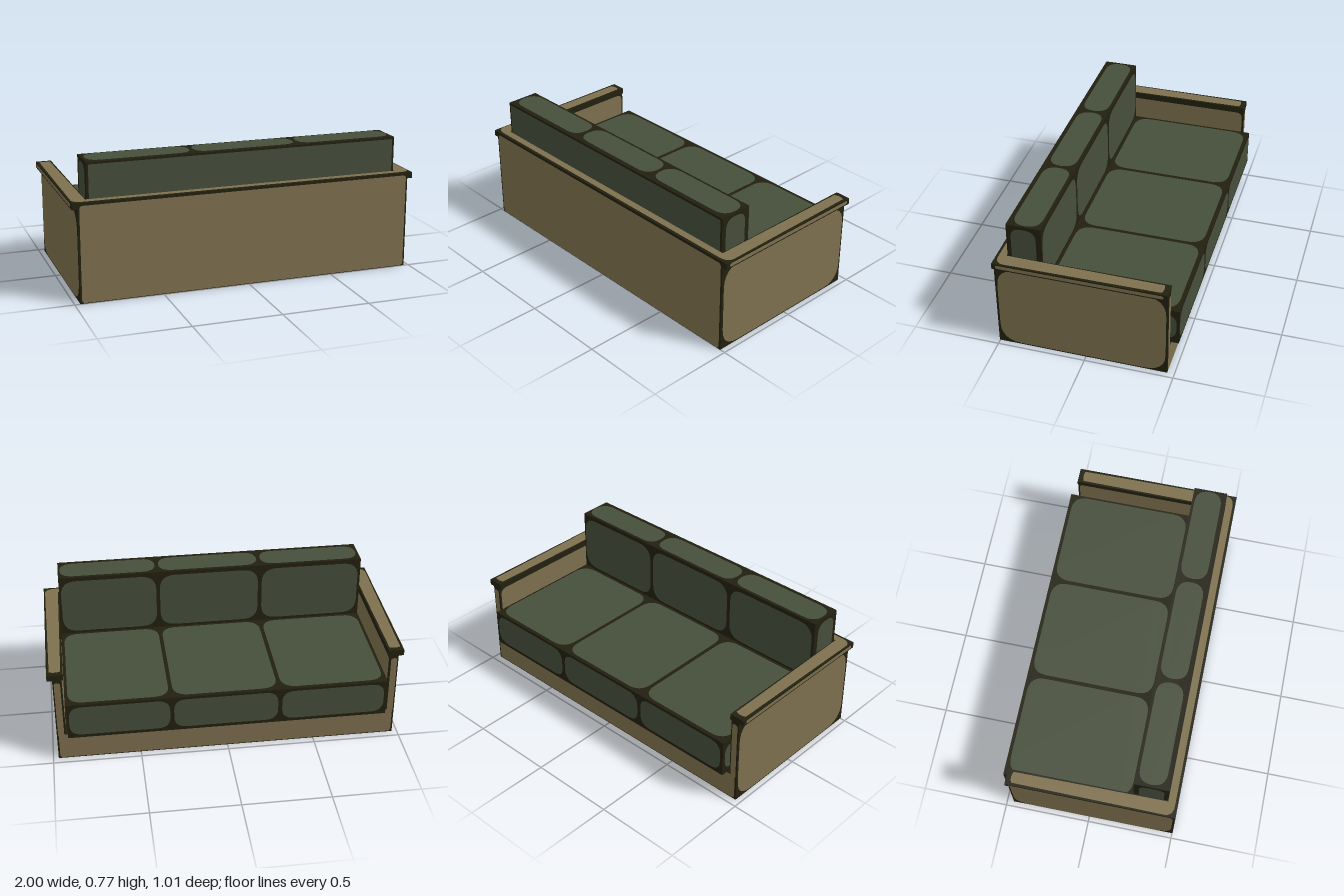
import * as THREE from 'three';

export function createModel() {
  const group = new THREE.Group();
  const material = (name, color) => {
    const m = new THREE.MeshStandardMaterial({ color });
    m.name = name;
    return m;
  };
  const tan = material('tan upholstery', 0x7e704e);
  const green = material('green fabric', 0x464e3b);
  const dark = material('dark seams', 0x22200f);
  const LIFT = 0.002;

  const add = (name, geometry, mat) => {
    const mesh = new THREE.Mesh(geometry, mat);
    mesh.name = name;
    group.add(mesh);
    return mesh;
  };

  // Box given by its extents on each axis
  const box = (name, [x0, x1], [y0, y1], [z0, z1], mat = dark) => {
    const mesh = add(name, new THREE.BoxGeometry(x1 - x0, y1 - y0, z1 - z0), mat);
    mesh.position.set((x0 + x1) / 2, (y0 + y1) / 2, (z0 + z1) / 2);
  };

  // Flat patch with soft corners, laid just above a face.
  // Extents (u, v) are z,y on x faces; x,z on y faces; x,y on z faces.
  const patch = (name, mat, axis, sign, at, [u0, u1], [v0, v1], r = 0.05) => {
    const a = (u1 - u0) / 2, b = (v1 - v0) / 2;
    const rx = Math.min(r, a), ry = Math.min(r, b);
    const s = new THREE.Shape();
    s.moveTo(-a + rx, -b);
    s.lineTo(a - rx, -b);
    s.quadraticCurveTo(a, -b, a, -b + ry);
    s.lineTo(a, b - ry);
    s.quadraticCurveTo(a, b, a - rx, b);
    s.lineTo(-a + rx, b);
    s.quadraticCurveTo(-a, b, -a, b - ry);
    s.lineTo(-a, -b + ry);
    s.quadraticCurveTo(-a, -b, -a + rx, -b);
    const mesh = add(name, new THREE.ShapeGeometry(s, 6), mat);
    const u = (u0 + u1) / 2, v = (v0 + v1) / 2, d = at + sign * LIFT;
    if (axis === 'x') {
      mesh.rotation.y = sign * Math.PI / 2;
      mesh.position.set(d, v, u);
    } else if (axis === 'y') {
      mesh.rotation.x = -sign * Math.PI / 2;
      mesh.position.set(u, d, v);
    } else {
      mesh.rotation.y = sign > 0 ? 0 : Math.PI;
      mesh.position.set(u, v, d);
    }
  };

  // Frame: base, back wall and its overhanging rail
  box('base', [-0.97, 0.97], [0, 0.17], [-0.46, 0.503]);
  box('backWall', [-0.97, 0.97], [0.17, 0.53], [0.447, 0.503]);
  box('backRail', [-1, 1], [0.53, 0.565], [0.44, 0.503]);
  patch('backWallPanel', tan, 'z', 1, 0.503, [-0.96, 0.96], [0.006, 0.55], 0.02);
  patch('basePanel', tan, 'z', -1, -0.46, [-0.96, 0.96], [0.008, 0.165], 0.02);
  patch('undersidePanel', tan, 'y', -1, LIFT, [-0.965, 0.965], [-0.455, 0.498], 0.01);

  // Arms with their rails and panels
  for (const s of [-1, 1]) {
    const span = (a, b) => (s > 0 ? [a, b] : [-b, -a]);
    box('arm', span(0.92, 0.97), [0.17, 0.53], [-0.46, 0.447]);
    box('armRail', span(0.91, 1), [0.53, 0.565], [-0.46, 0.44]);
    patch('armOuterPanel', tan, 'x', s, s * 0.97, [-0.45, 0.49], [0.01, 0.515], 0.12);
    patch('armInnerPanel', tan, 'x', -s, s * 0.92, [-0.45, 0.43], [0.19, 0.522], 0.04);
    patch('armFrontPanel', tan, 'z', -1, -0.46, span(0.928, 0.963), [0.15, 0.515], 0.015);
    patch('railSidePanel', tan, 'x', s, s, [-0.44, 0.48], [0.538, 0.559], 0.01);
  }

  // U-shaped tan top of the rail
  const u = new THREE.Shape();
  u.moveTo(-0.985, -0.425);
  u.quadraticCurveTo(-0.955, -0.44, -0.922, -0.425);
  u.lineTo(-0.915, 0.447);
  u.lineTo(0.915, 0.447);
  u.lineTo(0.922, -0.425);
  u.quadraticCurveTo(0.955, -0.44, 0.985, -0.425);
  u.lineTo(0.992, 0.44);
  u.quadraticCurveTo(0.99, 0.488, 0.93, 0.488);
  u.lineTo(-0.93, 0.488);
  u.quadraticCurveTo(-0.99, 0.488, -0.992, 0.44);
  const railTop = new THREE.ShapeGeometry(u);
  railTop.scale(1, -1, 1); // shape y becomes model z
  railTop.index.array.reverse();
  railTop.computeVertexNormals();
  railTop.rotateX(-Math.PI / 2);
  add('railTopPanel', railTop, tan).position.y = 0.565 + LIFT;

  // Cushion blocks
  box('seatCushion', [-0.907, 0.907], [0.17, 0.39], [-0.505, 0.25]);
  box('backCushion', [-0.905, 0.905], [0.17, 0.768], [0.25, 0.445]);
  patch('backCushionRear', green, 'z', 1, 0.445, [-0.893, 0.893], [0.54, 0.756], 0.01);

  // Three fabric patches per cushion face
  for (const cols of [[-0.89, -0.303], [-0.28, 0.31], [0.332, 0.895]]) {
    patch('seatTopFabric', green, 'y', 1, 0.39, cols, [-0.485, 0.232], 0.09);
    patch('seatFrontFabric', green, 'z', -1, -0.505, cols, [0.19, 0.375], 0.07);
    patch('backFrontFabric', green, 'z', -1, 0.25, cols, [0.405, 0.745], 0.09);
    patch('backTopFabric', green, 'y', 1, 0.768, cols, [0.265, 0.42], 0.08);
  }
  for (const s of [-1, 1]) {
    patch('backCushionSide', green, 'x', s, s * 0.905, [0.28, 0.42], [0.5, 0.75], 0.06);
    patch('seatCushionSide', green, 'x', s, s * 0.907, [-0.49, 0.2], [0.2, 0.36], 0.06);
  }

  // Bring the underside patch flush with the ground
  for (const part of group.children) {
    if (part.name === 'undersidePanel') part.position.y = 0;
    if (part.name === 'base') {
      part.scale.y = 0.168 / 0.17;
      part.position.y = 0.086;
    }
  }
  return group;
}
